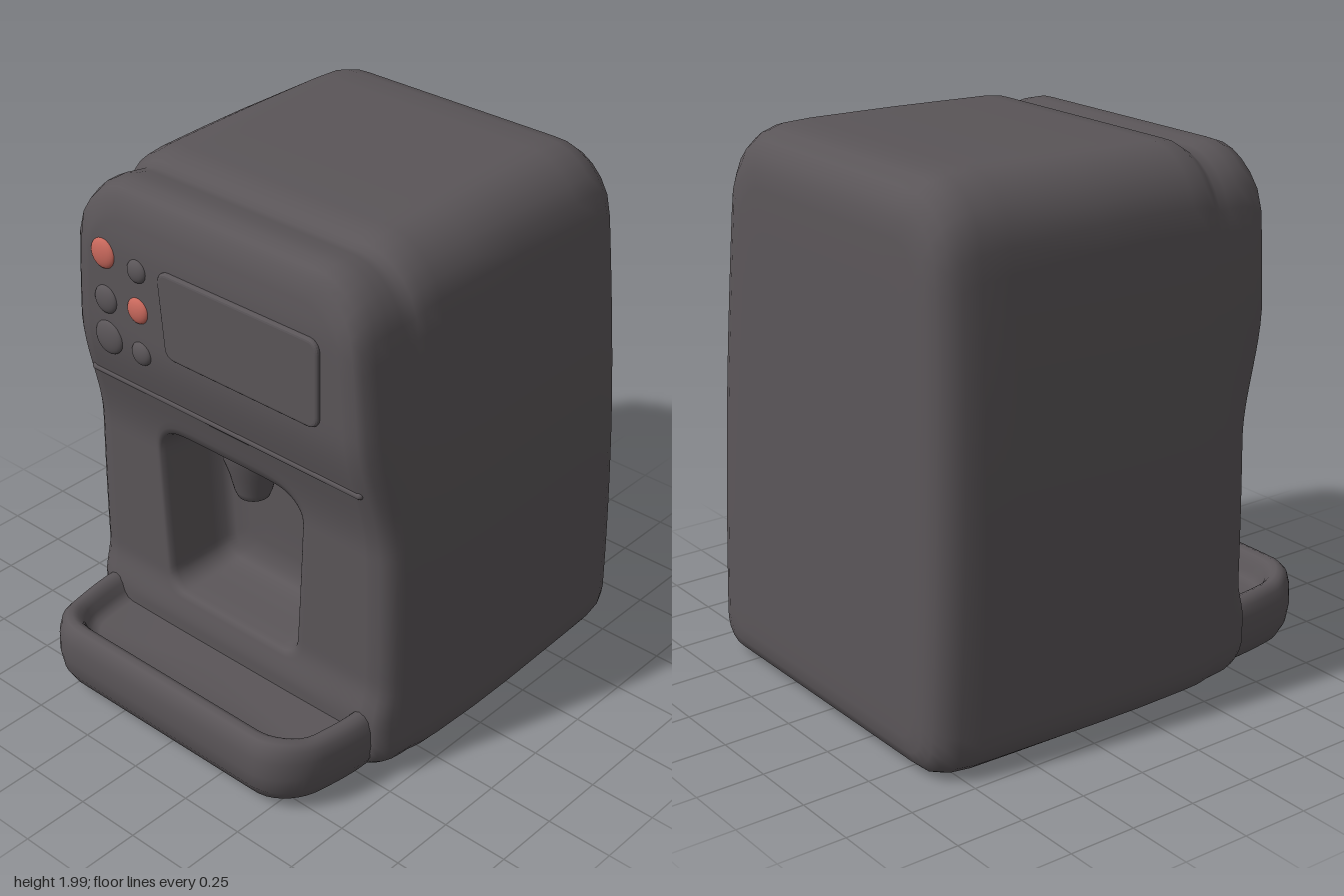
import * as THREE from 'three';

const N = 160;
const smooth = THREE.MathUtils.smoothstep;

// Ring of points where rays from (cx, cy) meet a rounded rectangle
function ring(cx, cy, x0, x1, y0, y1, rTop, rBottom) {
  const inside = (x, y) => {
    if (x < x0 || x > x1 || y < y0 || y > y1) return false;
    const r = y > (y0 + y1) / 2 ? rTop : rBottom;
    const dx = Math.max(x0 + r - x, x - x1 + r, 0);
    const dy = Math.max(y0 + r - y, y - y1 + r, 0);
    return dx * dx + dy * dy <= r * r;
  };
  const points = [];
  for (let i = 0; i < N; i++) {
    const a = (i / N) * Math.PI * 2, c = Math.cos(a), s = Math.sin(a);
    let lo = 0, hi = 3;
    for (let k = 0; k < 24; k++) {
      const mid = (lo + hi) / 2;
      if (inside(cx + c * mid, cy + s * mid)) lo = mid; else hi = mid;
    }
    points.push([cx + c * lo, cy + s * lo]);
  }
  return points;
}

const mix = (A, B, t) => A.map((p, i) => [p[0] + (B[i][0] - p[0]) * t, p[1] + (B[i][1] - p[1]) * t]);
const shrink = (A, cx, cy, k) => A.map(([x, y]) => [cx + (x - cx) * k, cy + (y - cy) * k]);

// Smooth skin over rings of [x, y, z] points
function loft(rings) {
  const index = [];
  for (let j = 0; j < rings.length - 1; j++) {
    for (let i = 0; i < N; i++) {
      const a = j * N + i, b = j * N + (i + 1) % N;
      index.push(a, b, b + N, a, b + N, a + N);
    }
  }
  const g = new THREE.BufferGeometry();
  g.setAttribute('position', new THREE.Float32BufferAttribute(rings.flat(2), 3));
  g.setIndex(index);
  g.computeVertexNormals();
  return g;
}

// Forward swell of the control area and the small fillet above the tray
const swell = (y) => 0.085 * smooth(y, 0.93, 1.42) - 0.025 * smooth(y, 1.72, 1.95)
  + 0.03 * (1 - smooth(y, 0.24, 0.4));

function bodyGeometry() {
  const cy = 0.69;
  const outline = (ix, it, ib) => ring(0, cy, -0.745 + ix, 0.745 - ix, ib, 1.995 - it,
    Math.max(0.12, 0.23 - ix * 0.5), Math.max(0.06, 0.13 - ix * 0.4));
  const rings = [];
  const add = (points, z, front) => rings.push(points.map(([x, y]) => {
    const taper = 1 - 0.05 * (y - 0.5) ** 2;
    const lean = 0.042 * y * (1 - smooth(z, -0.88, -0.45));
    return [x * taper - 0.008 * smooth(y, 0.8, 1.8), y, z + lean + front * swell(y)];
  }));
  // Shell: z, side inset, top inset, bottom inset, share of the front swell
  const shell = [
    [-0.88, 0.18, 0.2, 0.14, 0], [-0.875, 0.13, 0.14, 0.09, 0], [-0.86, 0.09, 0.09, 0.055, 0],
    [-0.83, 0.055, 0.05, 0.03, 0], [-0.78, 0.035, 0.02, 0.015, 0], [-0.7, 0.022, 0.003, 0.01, 0],
    [-0.55, 0.015, 0, 0.01, 0], [-0.2, 0.002, 0.005, 0.01, 0], [0, 0, 0.01, 0.01, 0],
    [0.2, 0.006, 0.015, 0.01, 0], [0.27, 0.012, 0.022, 0.01, 0], [0.305, 0.02, 0.045, 0.012, 0],
    [0.33, 0.026, 0.06, 0.014, 0], [0.36, 0.026, 0.055, 0.016, 0.1], [0.395, 0.03, 0.045, 0.02, 0.4],
    [0.425, 0.038, 0.045, 0.03, 0.75], [0.452, 0.055, 0.06, 0.045, 1], [0.47, 0.08, 0.088, 0.065, 1],
    [0.48, 0.12, 0.13, 0.09, 1],
  ];
  const back = outline(0.18, 0.2, 0.14);
  for (const k of [0, 0.3, 0.6, 0.85]) add(shrink(back, 0, cy, k), -0.88, 0);
  for (const [z, ix, it, ib, f] of shell) add(outline(ix, it, ib), z, f);
  // Front face narrowing to the dispensing opening, then the recess
  const edge = outline(0.12, 0.13, 0.09);
  const hole = ring(0, cy, -0.325, 0.325, 0.355, 1.025, 0.11, 0.07)
    .map(([x, y]) => [x * (1 + 0.2 * (y - cy)) - 0.018, y]);
  for (let i = 1; i <= 24; i++) add(mix(edge, hole, (i / 24) * 0.94), 0.48, 1);
  add(mix(edge, hole, 0.98), 0.475, 1);
  add(hole, 0.455, 0.9);
  for (const [k, z] of [[0.985, 0.41], [0.97, 0.34], [0.95, 0.27], [0.91, 0.22], [0.83, 0.195], [0.6, 0.19], [0.3, 0.19], [0, 0.19]]) {
    add(shrink(hole, -0.015, cy, k), z, 0);
  }
  return loft(rings);
}

// Drip tray with a rounded rim and a sunken trough, lofted upwards
function trayGeometry() {
  const rings = [];
  const add = (points, h) => rings.push(points.map(([x, y]) => {
    const z = -y;
    const lip = 0.018 * smooth(z, 0.7, 0.84) * smooth(h, 0.1, 0.28);
    return [x * (1 - 0.08 * smooth(z, 0.5, 0.9)), h + lip, z];
  }));
  const outline = (i) => ring(0, -0.6, -0.66 + i, 0.66 - i, -0.885 + i, -0.3 - i, 0.04, Math.max(0.06, 0.17 - i * 0.6));
  const profile = [
    [0.13, 0.012], [0.075, 0.025], [0.035, 0.055], [0.01, 0.1], [0, 0.16], [0.002, 0.22],
    [0.012, 0.26], [0.03, 0.28], [0.05, 0.287], [0.07, 0.28], [0.088, 0.26], [0.1, 0.23],
    [0.115, 0.21], [0.14, 0.203],
  ];
  add(shrink(outline(0.13), 0, -0.6, 0), 0.012);
  for (const [i, h] of profile) add(outline(i), h);
  add(shrink(outline(0.14), 0, -0.6, 0.5), 0.2);
  add(shrink(outline(0.14), 0, -0.6, 0), 0.2);
  return loft(rings);
}

// Raised display panel with softened corners
function displayGeometry() {
  const c = [[-0.2, 1.415], [0.472, 1.415], [0.472, 1.715], [-0.222, 1.715]];
  const r = 0.035, s = new THREE.Shape();
  s.moveTo(c[0][0] + r, c[0][1]);
  s.lineTo(c[1][0] - r, c[1][1]);
  s.quadraticCurveTo(...c[1], c[1][0], c[1][1] + r);
  s.lineTo(c[2][0], c[2][1] - r);
  s.quadraticCurveTo(...c[2], c[2][0] - r, c[2][1]);
  s.lineTo(c[3][0] + r, c[3][1]);
  s.quadraticCurveTo(...c[3], c[3][0], c[3][1] - r);
  s.lineTo(c[0][0], c[0][1] + r);
  s.quadraticCurveTo(...c[0], c[0][0] + r, c[0][1]);
  return new THREE.ExtrudeGeometry(s, {
    depth: 0.03, bevelThickness: 0.01, bevelSize: 0.012, bevelSegments: 3, curveSegments: 8,
  });
}

export function createModel() {
  const group = new THREE.Group();
  const charcoal = new THREE.MeshStandardMaterial({ color: 0x5a5558 });
  charcoal.name = 'charcoal plastic';
  const red = new THREE.MeshStandardMaterial({ color: 0xc8685c });
  red.name = 'red button';

  const part = (name, geometry, material, x = 0, y = 0, z = 0) => {
    const mesh = new THREE.Mesh(geometry, material);
    mesh.name = name;
    mesh.position.set(x, y, z);
    group.add(mesh);
    return mesh;
  };

  part('body', bodyGeometry(), charcoal);
  part('dripTray', trayGeometry(), charcoal);
  part('displayPanel', displayGeometry(), charcoal, 0, 0, 0.54);

  // Spout hanging from the top of the recess
  const profile = [[0, 0.84], [0.035, 0.842], [0.058, 0.855], [0.068, 0.88], [0.085, 0.95], [0.105, 1.01], [0.11, 1.06]]
    .map(([x, y]) => new THREE.Vector2(x, y));
  part('spout', new THREE.LatheGeometry(profile, 32), charcoal, -0.003, 0, 0.375);

  // Soft ridge under the control area
  const ridge = part('ridge', new THREE.CapsuleGeometry(0.014, 1.24, 6, 12), charcoal, -0.005, 1.19, 0.48 + swell(1.19) - 0.006);
  ridge.rotation.z = Math.PI / 2;

  // Control buttons: x, y, radius, material
  const buttons = [
    [-0.505, 1.693, 0.056, red], [-0.342, 1.68, 0.043, charcoal],
    [-0.502, 1.518, 0.053, charcoal], [-0.345, 1.53, 0.048, red],
    [-0.5, 1.37, 0.065, charcoal], [-0.34, 1.365, 0.045, charcoal],
  ];
  for (const [x, y, r, material] of buttons) {
    const button = part('button', new THREE.SphereGeometry(r, 28, 16), material, x, y, 0.48 + swell(y) - 0.002);
    button.scale.z = 0.022 / r;
  }
  return group;
}
